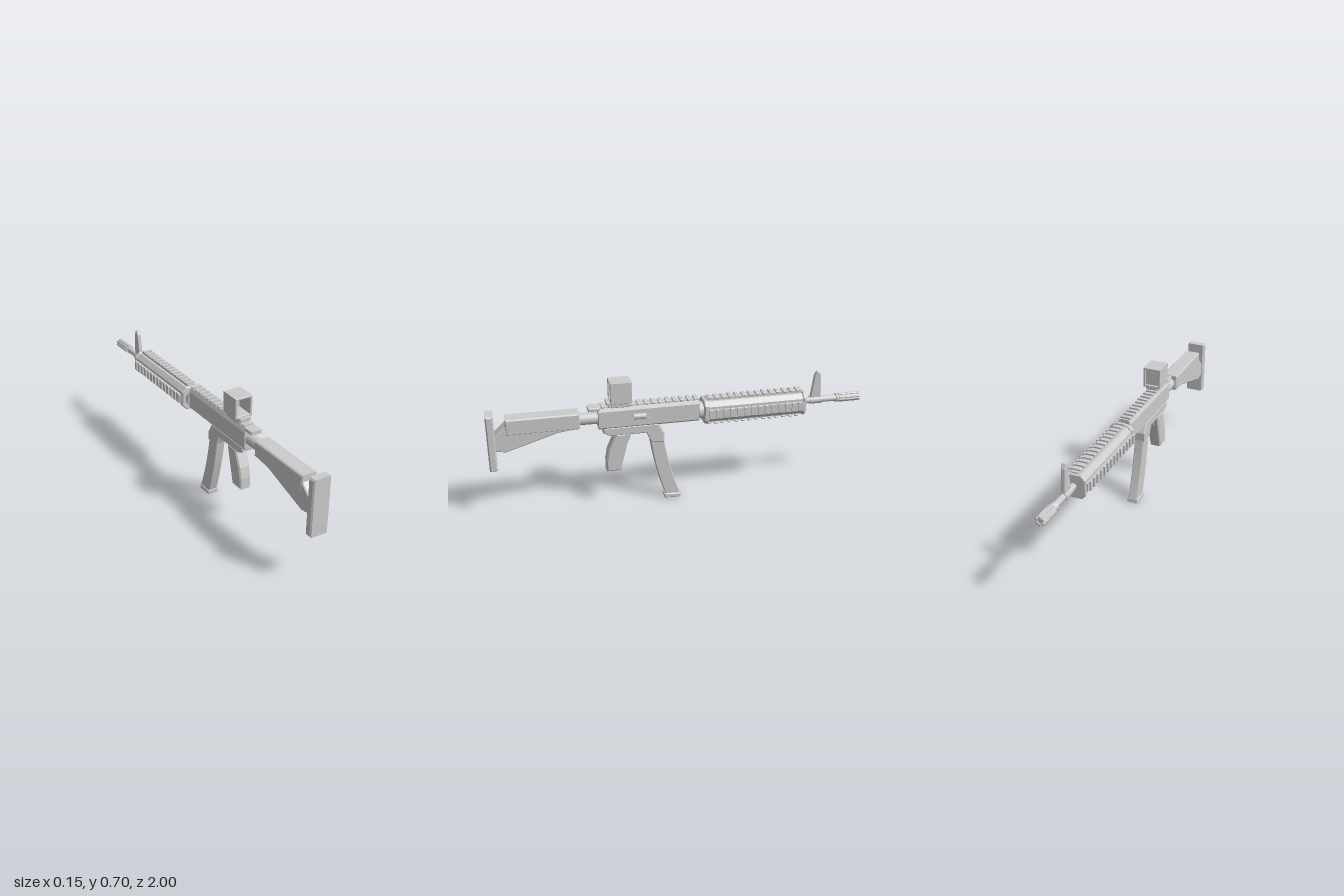
import * as THREE from 'three';

const grey = new THREE.MeshStandardMaterial({ color: 0xcccccc, flatShading: true });
const smooth = new THREE.MeshStandardMaterial({ color: 0xcccccc });
const AXIS = 0.495; // height of the barrel axis

export function createModel() {
  const model = new THREE.Group();

  const add = (name, geo, parent = model, mat = grey) => {
    const mesh = new THREE.Mesh(geo, mat);
    mesh.name = name;
    parent.add(mesh);
    return mesh;
  };
  const group = (name) => {
    const g = new THREE.Group();
    g.name = name;
    model.add(g);
    return g;
  };
  const shapeOf = (pts) => new THREE.Shape(pts.map(([a, b]) => new THREE.Vector2(a, b)));

  // Extrudes a shape with chamfers kept inside its outline, centred on its depth
  const extrude = (shape, depth, bevel) =>
    new THREE.ExtrudeGeometry(shape, {
      depth: depth - 2 * bevel, bevelEnabled: bevel > 0, bevelSize: bevel,
      bevelThickness: bevel, bevelOffset: -bevel, bevelSegments: 1,
    }).translate(0, 0, bevel - depth / 2);

  // Side profile given as [z, y], spread over x = -half..half
  const profile = (pts, half, bevel = 0.006) =>
    extrude(shapeOf(pts), half * 2, bevel).rotateY(-Math.PI / 2);

  const block = (half, y0, y1, z0, z1, bevel = 0.005) =>
    profile([[z0, y0], [z1, y0], [z1, y1], [z0, y1]], half, bevel);

  // Cross-section given as [x, y], run from z0 to z1
  const section = (pts, z0, z1, bevel = 0) =>
    extrude(shapeOf(pts), z1 - z0, bevel).translate(0, 0, (z0 + z1) / 2);

  const rod = (r, z0, z1, sides = 20, r2 = r) =>
    new THREE.CylinderGeometry(r2, r, z1 - z0, sides).rotateX(Math.PI / 2)
      .translate(0, AXIS, (z0 + z1) / 2);

  // Stock
  add('buttPlate', block(0.05, 0.275, 0.577, 0.96, 1, 0.007));
  add('stockBody', block(0.043, 0.465, 0.55, 0.53, 0.905, 0.006));
  add('stockBrace', profile([[0.545, 0.466], [0.64, 0.455], [0.91, 0.372], [0.965, 0.382],
    [0.965, 0.46], [0.905, 0.515], [0.6, 0.515]], 0.04, 0.005));
  add('bufferTube', rod(0.031, 0.42, 0.54).translate(0, 0.008, 0), model, smooth);

  // Receiver
  add('upperReceiver', section([[-0.029, 0.448], [0.029, 0.448], [0.036, 0.457], [0.036, 0.545],
    [0.026, 0.563], [-0.026, 0.563], [-0.036, 0.545], [-0.036, 0.457]], -0.1, 0.435, 0.003));
  add('receiverNeck', rod(0.045, -0.13, -0.095), model, smooth);
  add('chargingHandle', block(0.031, 0.55, 0.57, 0.42, 0.485, 0.004));
  const rail = group('receiverRail');
  add('railBase', block(0.023, 0.558, 0.567, -0.1, 0.435, 0), rail);
  for (let i = 0; i < 14; i++) {
    const z = -0.08 + i * 0.0375;
    add('railTooth', block(0.029, 0.564, 0.576, z - 0.01, z + 0.01, 0.003), rail);
  }
  add('lowerReceiver', profile([[0.41, 0.452], [0.412, 0.425], [0.375, 0.405], [0.185, 0.405],
    [0.163, 0.352], [0.09, 0.345], [0.09, 0.395], [0.122, 0.452]], 0.033, 0.005));

  // Bolt handle on the left of the receiver
  add('boltLip', new THREE.BoxGeometry(0.012, 0.006, 0.1).translate(0.038, 0.495, 0.215));
  add('boltHandle', rod(0.015, 0.188, 0.253, 12).translate(0.043, 0.015, 0));

  // Grip, trigger and magazine
  add('grip', profile([[0.4, 0.2], [0.4, 0.26], [0.388, 0.32], [0.348, 0.41], [0.272, 0.41],
    [0.325, 0.2]], 0.032, 0.007));
  add('trigger', profile([[0.285, 0.41], [0.262, 0.41], [0.268, 0.375], [0.283, 0.345],
    [0.29, 0.35], [0.28, 0.38]], 0.008, 0.001));
  const curve = (x0, x1) => {
    const pts = [];
    for (let i = 0; i <= 8; i++) {
      const t = i / 8;
      pts.push([x0 + (x1 - x0) * (0.55 * t + 0.45 * t * t), 0.37 - 0.345 * t]);
    }
    return pts;
  };
  add('magazine', profile([...curve(0.165, 0.085), ...curve(0.093, 0.004).reverse()], 0.026, 0.004));
  add('magazineBase', profile([[0, 0.004], [0.02, 0], [0.09, 0.004], [0.092, 0.026], [0.078, 0.03],
    [0.003, 0.026]], 0.031, 0.005));

  // Octagonal handguard with a rail on each of its four sides
  const guard = group('handguard');
  const octagon = (r, f) => [[r, -f], [r, f], [f, r], [-f, r], [-r, f], [-r, -f], [-f, -r], [f, -r]]
    .map(([x, y]) => [x, y + AXIS]);
  add('guardBody', section(octagon(0.057, 0.034), -0.67, -0.13), guard);
  add('guardRearRing', section(octagon(0.063, 0.04), -0.145, -0.12, 0.004), guard);
  add('guardFrontRing', section(octagon(0.063, 0.04), -0.678, -0.66, 0.004), guard);
  for (let side = 0; side < 4; side++) {
    const turn = new THREE.Group();
    turn.name = 'guardRail';
    turn.position.y = AXIS;
    turn.rotation.z = side * Math.PI / 2;
    guard.add(turn);
    add('railBase', block(0.021, 0.05, 0.069, -0.665, -0.135, 0), turn);
    for (let i = 0; i < 14; i++) {
      const z = -0.64 + i * 0.0375;
      add('railTooth', block(0.026, 0.067, 0.077, z - 0.009, z + 0.009, 0.003), turn);
    }
  }

  // Barrel, front sight and slotted muzzle
  add('barrel', rod(0.017, -0.9, -0.65), model, smooth);
  add('sightBand', rod(0.021, -0.78, -0.715), model, smooth);
  add('frontSight', profile([[-0.718, 0.505], [-0.778, 0.505], [-0.771, 0.635], [-0.76, 0.658],
    [-0.747, 0.658], [-0.736, 0.635]], 0.011, 0.003));
  const muzzle = group('muzzle');
  add('muzzleCollar', rod(0.018, -0.882, -0.865, 20, 0.024).rotateY(0), muzzle, smooth);
  add('muzzleCore', rod(0.019, -0.992, -0.865), muzzle, smooth);
  for (let i = 0; i < 6; i++) {
    const prong = add('muzzleProng', block(0.0085, 0.012, 0.024, -1, -0.88, 0.003), muzzle);
    prong.position.y = AXIS;
    prong.rotation.z = i * Math.PI / 3;
  }

  // Boxed optic, open at the rear, with its lens near the front
  const optic = group('optic');
  add('opticFoot', block(0.03, 0.56, 0.582, 0.265, 0.365, 0.003), optic);
  add('opticMount', block(0.033, 0.578, 0.595, 0.258, 0.39, 0.004), optic);
  const frame = shapeOf([[-0.049, 0.59], [0.049, 0.59], [0.049, 0.701], [-0.049, 0.701]]);
  frame.holes.push(shapeOf([[-0.037, 0.602], [-0.037, 0.69], [0.037, 0.69], [0.037, 0.602]]));
  add('opticHousing', extrude(frame, 0.112, 0.002).translate(0, 0, 0.315), optic);
  add('opticLens', new THREE.BoxGeometry(0.076, 0.09, 0.004).translate(0, 0.646, 0.272), optic);
  add('opticDot', new THREE.BoxGeometry(0.003, 0.003, 0.008).translate(0, 0.646, 0.272), optic);

  return model;
}
